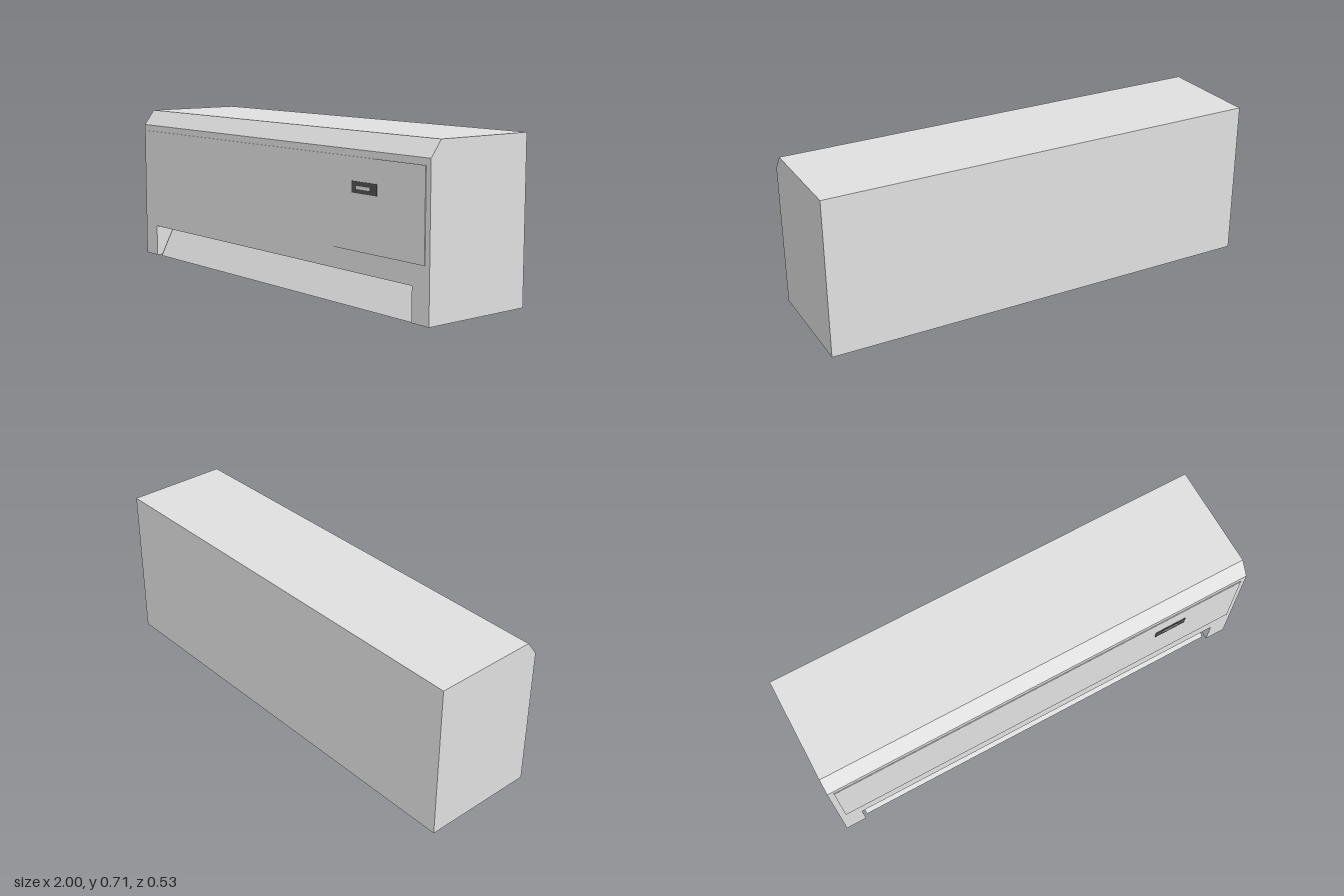
import * as THREE from 'three';

// Extrude a [z, y] side profile along x, from x0 to x1
function profileMesh(name, points, x0, x1, material) {
  const shape = new THREE.Shape(points.map(([z, y]) => new THREE.Vector2(z, y)));
  const geometry = new THREE.ExtrudeGeometry(shape, { depth: x1 - x0, bevelEnabled: false });
  geometry.rotateY(-Math.PI / 2);
  geometry.translate(x1, 0, 0);
  const mesh = new THREE.Mesh(geometry, material);
  mesh.name = name;
  return mesh;
}

// Box given by its minimum and maximum corners
function boxMesh(name, min, max, material) {
  const size = max.map((v, i) => v - min[i]);
  const mesh = new THREE.Mesh(new THREE.BoxGeometry(...size), material);
  mesh.position.set(...max.map((v, i) => (v + min[i]) / 2));
  mesh.name = name;
  return mesh;
}

export function createModel() {
  const model = new THREE.Group();
  model.name = 'wallAirConditioner';

  const casing = new THREE.MeshStandardMaterial({ color: 0xe0e0e0 });
  casing.name = 'casing';
  const dark = new THREE.MeshStandardMaterial({ color: 0x525252 });
  dark.name = 'darkGrey';

  const front = 0.257, back = -0.264, bottom = 0.004, top = 0.708;
  const openX = 0.905, openTop = 0.148, openBack = 0.135;
  const upper = [[front, 0.64], [0.206, top], [back, top], [back, bottom]];

  // Casing: two solid ends and a middle notched for the air outlet
  const body = new THREE.Group();
  body.name = 'body';
  const end = [...upper, [front, bottom]];
  const middle = [...upper, [openBack, bottom], [openBack, openTop], [front, openTop]];
  body.add(
    profileMesh('rightEnd', end, -1, -openX, casing),
    profileMesh('middle', middle, -openX, openX, casing),
    profileMesh('leftEnd', end, openX, 1, casing)
  );
  model.add(body);

  // Dark back of the outlet, and the tilted flap in front of it
  model.add(boxMesh('outletBack', [-openX, bottom, openBack], [openX, openTop, openBack + 0.004], dark));
  const flap = [[0.24, 0], [0.168, 0.14], [0.15, 0.138], [0.222, 0]];
  model.add(profileMesh('flap', flap, -0.892, 0.892, casing));

  // Slightly raised front cover
  model.add(boxMesh('frontPanel', [-0.975, 0.235, front], [0.975, 0.612, 0.2605], casing));

  // Display with a small light bar
  model.add(boxMesh('display', [0.56, 0.468, 0.26], [0.708, 0.515, 0.263], dark));
  model.add(boxMesh('displayLight', [0.592, 0.485, 0.2625], [0.672, 0.498, 0.266], casing));

  return model;
}
